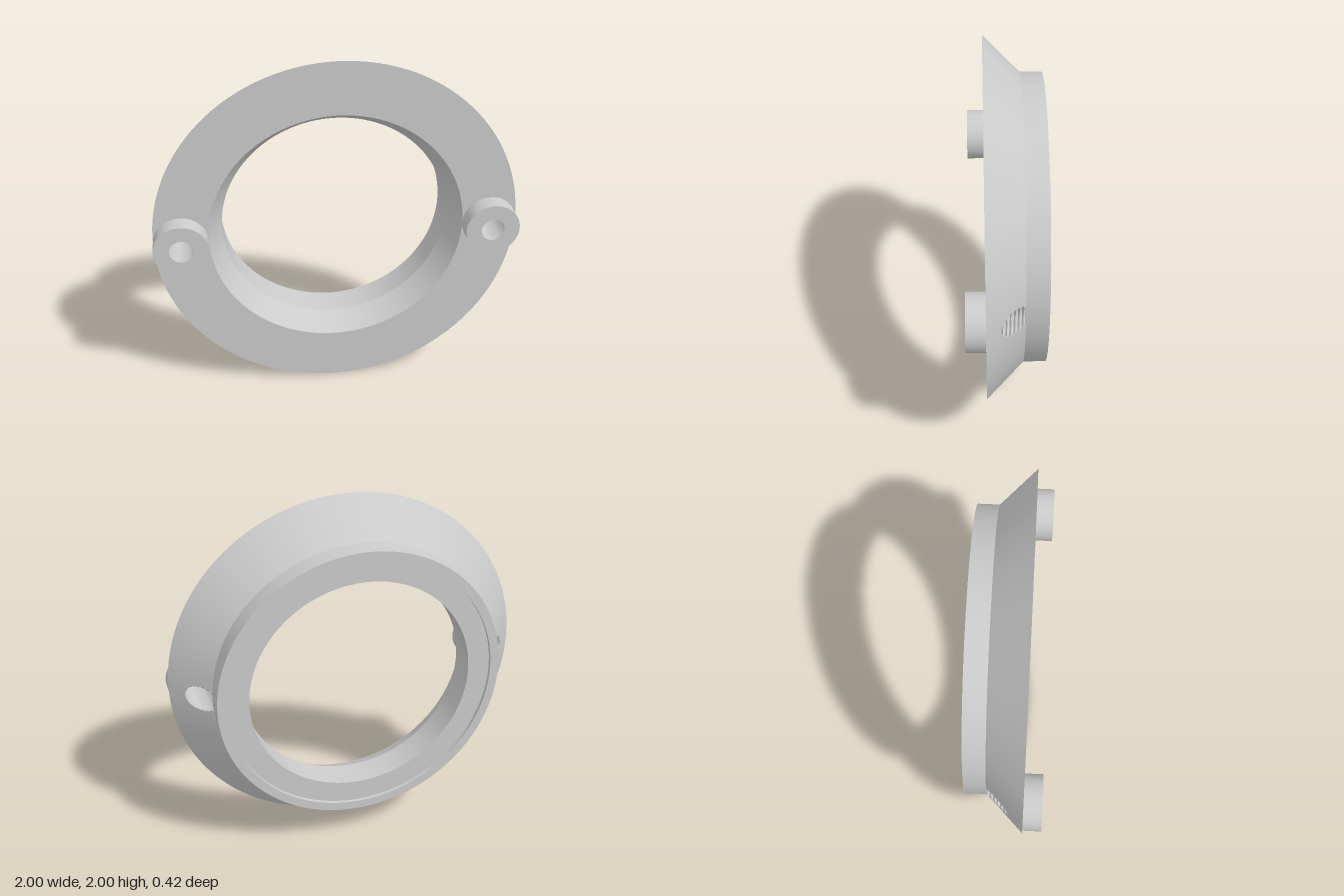
import * as THREE from 'three';

const FRONT = 0.11, LEDGE = -0.09, BACK = -0.21, TIP = 0.21; // z levels
const BOSS_X = 0.85, BOSS_R = 0.15, EXIT_R = 0.075, MINOR = 0.065, MAJOR = 0.08;
const PITCH = 0.02, PATCH = 0.15; // thread pitch, half angle of the cone patch around a hole

const material = new THREE.MeshStandardMaterial({ color: 0xcccccc });
const threadMaterial = new THREE.MeshStandardMaterial({ color: 0xcccccc, flatShading: true });

// height of the outer 45 degree cone at a radius
const coneZ = (r) => Math.max(LEDGE, r - 1 + FRONT);

function mesh(name, geometry, mat = material) {
  const m = new THREE.Mesh(geometry, mat);
  m.name = name;
  return m;
}

// surface of revolution about z between profile points [radius, z]
function band(a, b, segments = 120, start = 0, length = Math.PI * 2) {
  const pts = [a, b].map(([r, z]) => new THREE.Vector2(r, z));
  return new THREE.LatheGeometry(pts, segments, start, length).rotateX(Math.PI / 2);
}

// grid surface from fn(i, j) -> [x, y, z]
function grid(ni, nj, fn) {
  const pos = [], idx = [];
  for (let i = 0; i <= ni; i++) for (let j = 0; j <= nj; j++) {
    pos.push(...fn(i, j));
    if (i < ni && j < nj) {
      const a = i * (nj + 1) + j, b = a + nj + 1;
      idx.push(a, b, a + 1, b, b + 1, a + 1);
    }
  }
  const g = new THREE.BufferGeometry();
  g.setAttribute('position', new THREE.Float32BufferAttribute(pos, 3));
  g.setIndex(idx);
  g.computeVertexNormals();
  return g;
}

// threaded bore, cut off where it breaks out through the cone
function threadGeometry() {
  const rows = 90;
  return grid(48, rows, (i, j) => {
    const a = (i / 48) * Math.PI * 2, c = Math.cos(a), s = Math.sin(a);
    const exitZ = coneZ(Math.hypot(BOSS_X + EXIT_R * c, EXIT_R * s));
    let z = TIP + (LEDGE - TIP) * (j / rows), r = EXIT_R;
    if (z <= exitZ + 1e-6) z = exitZ;
    else {
      const t = z / PITCH - i / 48;
      const wave = Math.abs(2 * (t - Math.floor(t)) - 1);
      r = j === 0 ? MINOR : MINOR + (MAJOR - MINOR) * wave;
    }
    return [BOSS_X + r * c, r * s, z];
  });
}

// piece of the cone around the bore exit
function patchGeometry() {
  const n = 12, outer = [];
  for (let k = 0; k < n; k++) outer.push([0.8 + 0.2 * k / n, -PATCH]);
  for (let k = 0; k < n; k++) outer.push([1, -PATCH + 2 * PATCH * k / n]);
  for (let k = 0; k <= n; k++) outer.push([1 - 0.2 * k / n, PATCH]);
  return grid(outer.length - 1, 4, (i, j) => {
    const [r, t] = outer[i];
    const dx = r * Math.cos(t) - 0.8, dy = r * Math.sin(t), len = Math.hypot(dx, dy);
    // ray from the ledge point to the bore circle
    const ux = dx / len, off = BOSS_X - 0.8;
    const hit = ux * off + Math.sqrt((ux * off) ** 2 - off ** 2 + EXIT_R ** 2);
    const d = (hit + (len - hit) * j / 4) / len;
    const x = 0.8 + dx * d, y = dy * d;
    return [x, y, coneZ(Math.hypot(x, y))];
  });
}

// crescent floor of the bore on the rear collar
function floorGeometry() {
  const pts = [];
  for (let k = 0; k <= 48; k++) {
    const a = (k / 48) * Math.PI * 2;
    const p = new THREE.Vector2(BOSS_X + MAJOR * Math.cos(a), MAJOR * Math.sin(a));
    if (p.length() < 0.8) pts.push(p);
  }
  const t = Math.atan2(pts[0].y, pts[0].x);
  for (let k = 0; k <= 12; k++) {
    const a = -t + (2 * t * k) / 12;
    pts.push(new THREE.Vector2(0.8 * Math.cos(a), 0.8 * Math.sin(a)));
  }
  return new THREE.ShapeGeometry(new THREE.Shape(pts)).translate(0, 0, LEDGE);
}

function createBoss() {
  const boss = new THREE.Group();
  boss.add(
    mesh('bossWall', band([BOSS_R, FRONT], [BOSS_R, TIP], 64).translate(BOSS_X, 0, 0)),
    mesh('bossFace', new THREE.RingGeometry(MINOR, BOSS_R, 48).translate(BOSS_X, 0, TIP)),
    mesh('threadedBore', threadGeometry(), threadMaterial),
    mesh('boreFloor', floorGeometry()),
    mesh('conePatch', patchGeometry()),
  );
  return boss;
}

export function createModel() {
  const model = new THREE.Group();
  model.name = 'mountingRing';
  const ring = new THREE.Group();
  ring.name = 'ring';
  ring.position.y = 1;
  model.add(ring);

  // front face, open beneath the two bosses
  const face = new THREE.Shape().absarc(0, 0, 1, 0, Math.PI * 2);
  face.holes.push(new THREE.Path().absarc(0, 0, 0.7, 0, Math.PI * 2, true));
  for (const s of [1, -1]) {
    face.holes.push(new THREE.Path().absarc(s * BOSS_X, 0, 0.1, 0, Math.PI * 2, true));
  }
  ring.add(mesh('frontFace', new THREE.ShapeGeometry(face, 60).translate(0, 0, FRONT)));

  // inner taper, bore, recessed back and rear collar
  const profile = [[0.7, FRONT], [0.625, -0.02], [0.625, -0.19], [0.75, -0.19],
    [0.75, BACK], [0.8, BACK], [0.8, LEDGE]];
  const names = ['innerTaper', 'innerBore', 'backRecess', 'recessWall', 'backRim', 'rearCollar'];
  names.forEach((name, i) => ring.add(mesh(name, band(profile[i], profile[i + 1]))));

  // outer cone halves and bosses, left and right
  for (let k = 0; k < 2; k++) {
    const start = Math.PI / 2 + PATCH + k * Math.PI;
    ring.add(mesh('outerCone', band([0.8, LEDGE], [1, FRONT], 60, start, Math.PI - 2 * PATCH)));
    const boss = createBoss();
    boss.name = k ? 'rightBoss' : 'leftBoss';
    boss.rotation.z = k * Math.PI;
    ring.add(boss);
  }
  return model;
}
